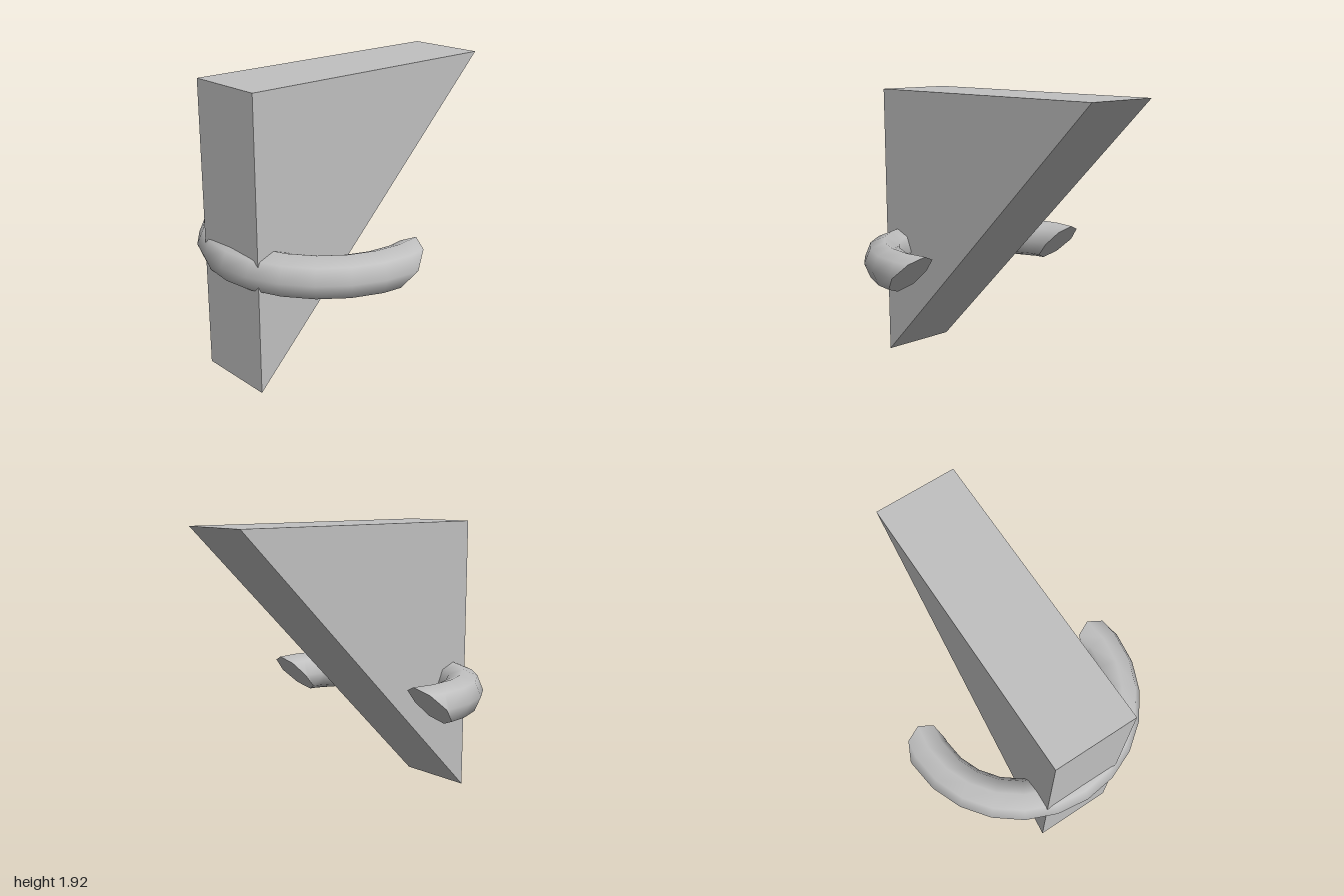
import * as THREE from 'three';

const BACK = -0.92, HEIGHT = 1.92, HALF_WIDTH = 0.275;
const RING_X = -0.15, RING_Y = 0.79, RING_R = 0.71, TUBE_R = 0.14;
const SIDES = 8, STEPS = 14;

const stone = new THREE.MeshStandardMaterial({ color: 0xc0c0c0 });
stone.name = 'light grey';

// Height of a point above the sloping underside
const above = (p) => p.y - p.x + BACK;

// Point on the ring: i counts round the tube, j along it in steps of 15 degrees
function ringPoint(i, j) {
  const phi = (i / SIDES) * Math.PI * 2;
  const theta = THREE.MathUtils.degToRad(75 + 15 * j);
  const rad = RING_R + TUBE_R * Math.cos(phi);
  return new THREE.Vector3(RING_X + rad * Math.cos(theta),
    RING_Y + TUBE_R * Math.sin(phi), rad * Math.sin(theta));
}

// Points beyond the slope slide back along their line onto it
function cutPoint(i, j) {
  if (j > STEPS / 2) {
    const p = cutPoint(i, STEPS - j);
    p.z *= -1;
    return p;
  }
  let a = ringPoint(i, j);
  while (above(a) < 0) {
    const b = ringPoint(i, ++j);
    if (above(b) >= 0) return a.lerp(b, above(a) / (above(a) - above(b)));
    a = b;
  }
  return a;
}

function geometryFrom(points, index) {
  const g = new THREE.BufferGeometry().setFromPoints(points);
  g.setIndex(index);
  g.computeVertexNormals();
  return g;
}

function addMesh(group, name, geometry) {
  const mesh = new THREE.Mesh(geometry, stone);
  mesh.name = name;
  group.add(mesh);
}

export function createModel() {
  const model = new THREE.Group();
  model.name = 'wedgeWithRing';

  // Triangular wedge with its point at the bottom
  const profile = new THREE.Shape([
    new THREE.Vector2(BACK, 0),
    new THREE.Vector2(BACK + HEIGHT, HEIGHT),
    new THREE.Vector2(BACK, HEIGHT),
  ]);
  const wedge = new THREE.ExtrudeGeometry(profile, { depth: 2 * HALF_WIDTH, bevelEnabled: false });
  wedge.translate(0, 0, -HALF_WIDTH);
  addMesh(model, 'wedge', wedge);

  // Half ring wrapped round the back of the wedge
  const points = [], index = [];
  for (let j = 0; j <= STEPS; j++) {
    for (let i = 0; i < SIDES; i++) {
      points.push(cutPoint(i, j));
      if (j === STEPS) continue;
      const a = j * SIDES + i, b = j * SIDES + ((i + 1) % SIDES);
      index.push(a, b, a + SIDES, b, b + SIDES, a + SIDES);
    }
  }
  addMesh(model, 'ring', geometryFrom(points, index));

  // Flat ends of the ring, level with the slope
  for (const [name, j] of [['frontRingEnd', 0], ['backRingEnd', STEPS]]) {
    const rim = [], fan = [];
    for (let i = 0; i < SIDES; i++) rim.push(cutPoint(i, j));
    for (let i = 1; i < SIDES - 1; i++) fan.push(0, ...(j === 0 ? [i + 1, i] : [i, i + 1]));
    addMesh(model, name, geometryFrom(rim, fan));
  }
  return model;
}
